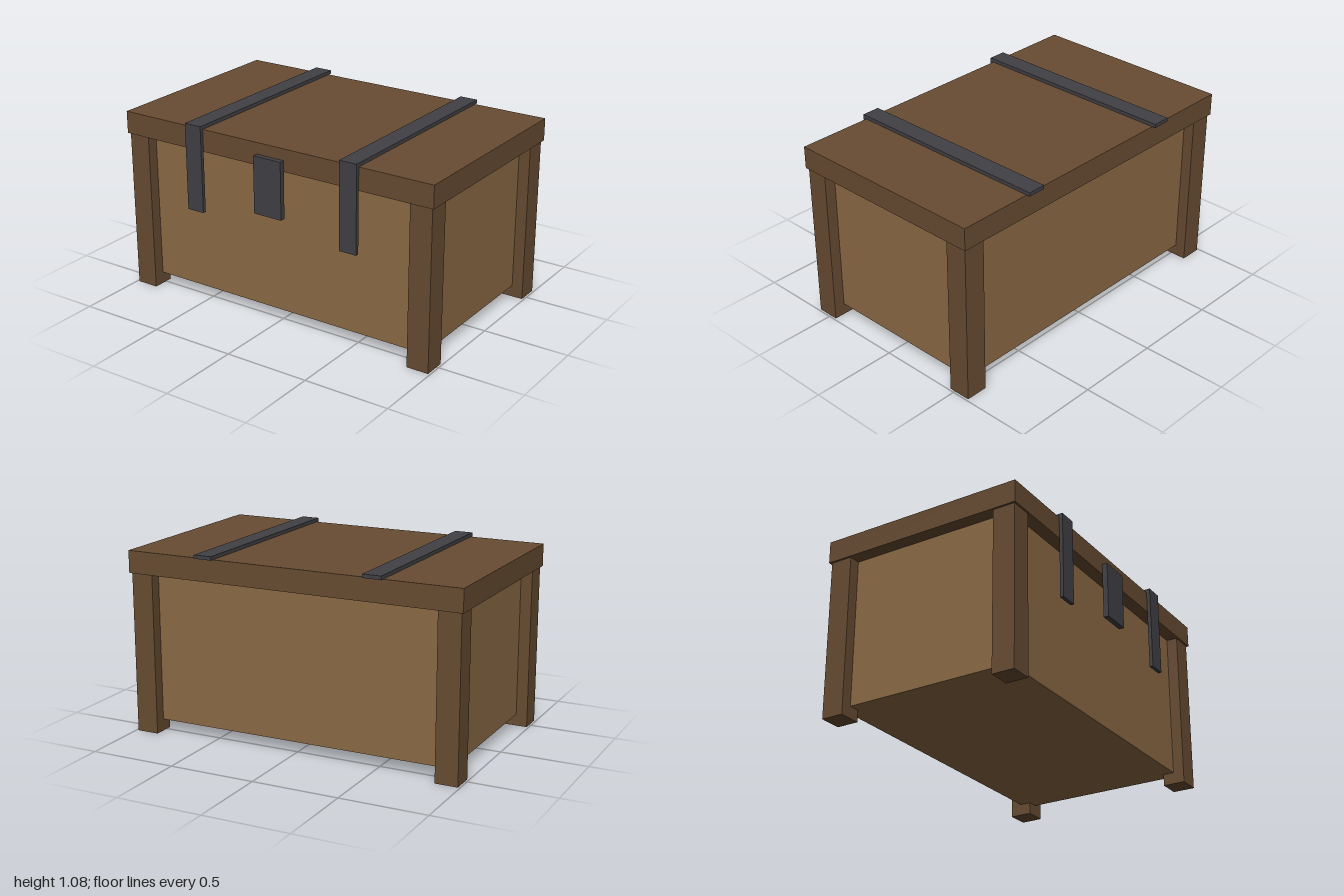
import * as THREE from 'three';

function material(name, color) {
  const m = new THREE.MeshStandardMaterial({ color });
  m.name = name;
  return m;
}

export function createModel() {
  const chest = new THREE.Group();
  chest.name = 'chest';

  const lightWood = material('light wood', 0x8c6a45);
  const darkWood = material('dark wood', 0x684c32);
  const iron = material('dark iron', 0x414045);

  // Box given by its extents along each axis
  function box(name, mat, [x0, x1], [y0, y1], [z0, z1]) {
    const mesh = new THREE.Mesh(new THREE.BoxGeometry(x1 - x0, y1 - y0, z1 - z0), mat);
    mesh.position.set((x0 + x1) / 2, (y0 + y1) / 2, (z0 + z1) / 2);
    mesh.name = name;
    chest.add(mesh);
  }

  // Chest body, set back from the corner posts
  box('body', lightWood, [-0.922, 0.922], [0.068, 0.929], [-0.532, 0.524]);

  // Overhanging lid
  box('lid', darkWood, [-1, 1], [0.929, 1.058], [-0.609, 0.6]);

  for (const side of [1, -1]) {
    const label = side > 0 ? 'left' : 'right';
    const span = (a, b) => (side > 0 ? [a, b] : [-b, -a]);

    // Corner posts
    box(`${label}FrontPost`, darkWood, span(0.858, 0.988), [0, 0.929], [0.459, 0.589]);
    box(`${label}BackPost`, darkWood, span(0.858, 0.988), [0, 0.929], [-0.597, -0.467]);

    // Straps over the lid and down the front
    box(`${label}TopStrap`, iron, span(0.452, 0.559), [1.058, 1.079], [-0.631, 0.6]);
    box(`${label}FrontStrap`, iron, span(0.452, 0.559), [0.574, 1.079], [0.6, 0.621]);
  }

  // Latch plate
  box('latch', iron, [-0.089, 0.089], [0.661, 0.992], [0.6, 0.631]);

  return chest;
}
